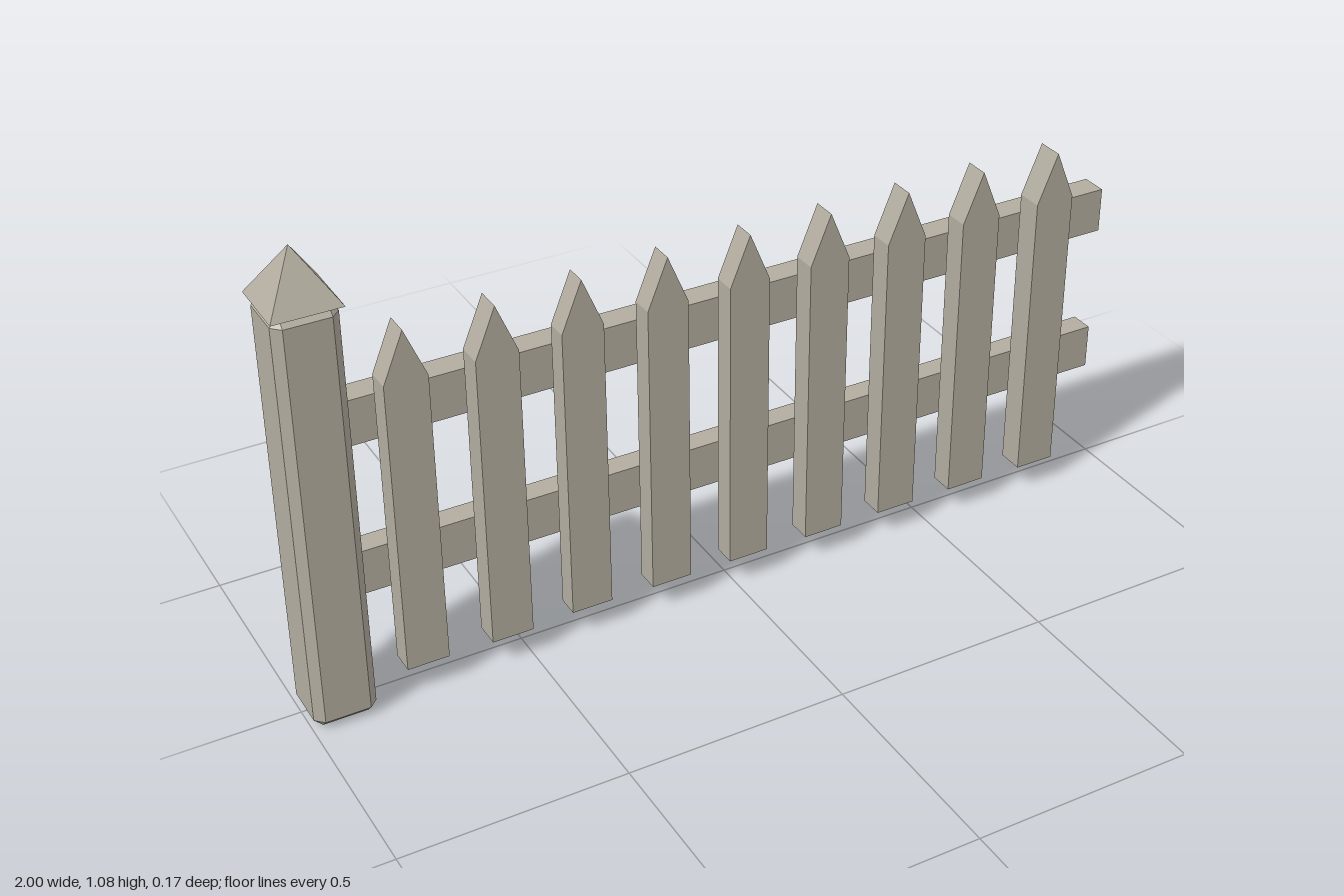
import * as THREE from 'three';
import { ConvexGeometry } from 'three/addons/geometries/ConvexGeometry.js';

const wood = new THREE.MeshStandardMaterial({ color: 0xb3ada0 });
wood.name = 'weathered wood';

function addPart(parent, name, geometry, x, y, z) {
  const mesh = new THREE.Mesh(geometry, wood);
  mesh.name = name;
  mesh.position.set(x, y, z);
  parent.add(mesh);
  return mesh;
}

// Box with every edge cut at 45 degrees, given by half sizes
function chamferedBox(hx, hy, hz, c) {
  const points = [];
  for (const sx of [-1, 1]) for (const sy of [-1, 1]) for (const sz of [-1, 1]) {
    points.push(
      new THREE.Vector3(sx * hx, sy * (hy - c), sz * (hz - c)),
      new THREE.Vector3(sx * (hx - c), sy * hy, sz * (hz - c)),
      new THREE.Vector3(sx * (hx - c), sy * (hy - c), sz * hz));
  }
  return new ConvexGeometry(points);
}

// Pointed board, standing on its own y = 0, back face at z = 0
function picketGeometry(width, shoulder, height, depth) {
  const w = width / 2;
  const shape = new THREE.Shape([
    new THREE.Vector2(-w, 0), new THREE.Vector2(w, 0), new THREE.Vector2(w, shoulder),
    new THREE.Vector2(0, height), new THREE.Vector2(-w, shoulder)]);
  return new THREE.ExtrudeGeometry(shape, { depth, bevelEnabled: false });
}

export function createModel() {
  const fence = new THREE.Group();
  fence.name = 'picketFence';

  // End post with pyramid cap
  const postX = -0.926, postZ = 0.011;
  addPart(fence, 'post', chamferedBox(0.0685, 0.4825, 0.0685, 0.019), postX, 0.4825, postZ);
  const cap = new THREE.ConeGeometry(0.074 * Math.SQRT2, 0.116, 4, 1).rotateY(Math.PI / 4).toNonIndexed();
  cap.computeVertexNormals();
  addPart(fence, 'postCap', cap, postX, 1.022, postZ);

  // Two rails behind the pickets
  addPart(fence, 'upperRail', new THREE.BoxGeometry(1.93, 0.105, 0.06), 0.035, 0.637, -0.056);
  addPart(fence, 'lowerRail', new THREE.BoxGeometry(1.93, 0.105, 0.054), 0.035, 0.274, -0.056);

  // Pickets, with slightly uneven thickness
  const depths = [0.056, 0.059, 0.05, 0.053, 0.053, 0.056, 0.056, 0.056, 0.061];
  depths.forEach((depth, i) => {
    addPart(fence, 'picket', picketGeometry(0.094, 0.688, 0.802, depth), -0.735 + i * 0.1918, 0.063, 0);
  });

  return fence;
}
